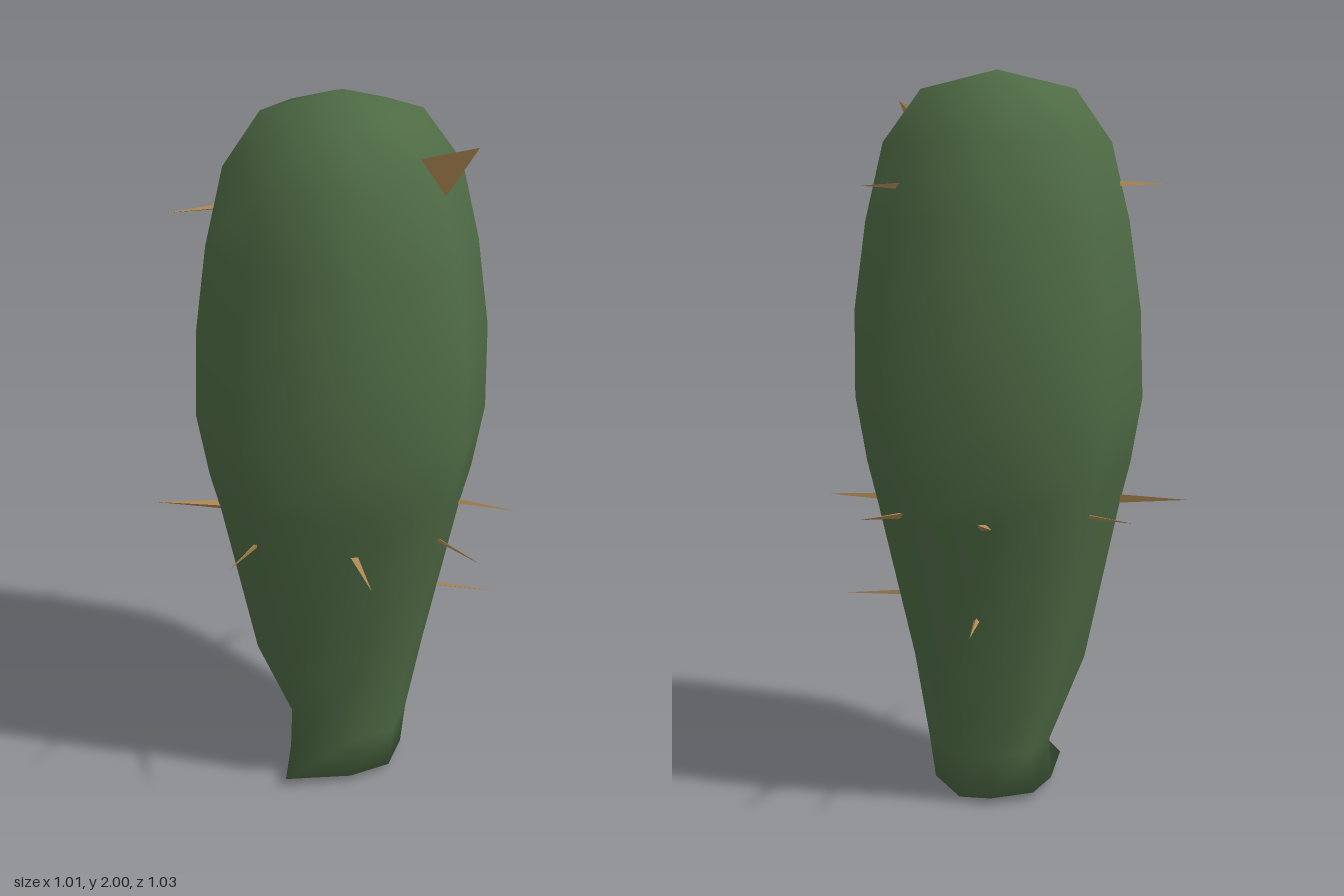
import * as THREE from 'three';

const green = new THREE.MeshStandardMaterial({ color: 0x4f6b45 });
const tan = new THREE.MeshStandardMaterial({ color: 0xb08a55, flatShading: true, side: THREE.DoubleSide });

// Eight-sided rings: height, centre x, centre z, radius, diagonal factor
const RINGS = [
  [0.02, 0.03, 0.005, 0.165, 1.0],
  [0.14, 0.04, -0.005, 0.17, 1.0],
  [0.38, 0.012, 0.012, 0.24, 1.0],
  [0.82, 0.015, 0.0, 0.335, 1.03],
  [0.94, 0.015, 0.005, 0.365, 1.04],
  [1.12, 0.015, 0.01, 0.396, 1.06],
  [1.36, 0.018, 0.008, 0.391, 1.06],
  [1.6, 0.018, 0.008, 0.358, 1.05],
  [1.81, 0.018, 0.01, 0.308, 1.02],
  [1.95, 0.015, 0.005, 0.207, 0.82],
];
const SIDES = 8;

function bodyGeometry() {
  const pos = [], index = [];
  RINGS.forEach(([y, cx, cz, r, diag], row) => {
    for (let i = 0; i < SIDES; i++) {
      const a = (i / SIDES) * Math.PI * 2;
      const rr = i % 2 ? r * diag : r;
      let x = cx + Math.sin(a) * rr, z = cz + Math.cos(a) * rr, h = y;
      // Uneven foot: one corner flares out, the opposite one dips
      if (row === 0) {
        if (i === 7) { x = -0.16; z = 0.185; h = 0.03; }
        else if (i === 3) { x = 0.12; z = -0.1; h = 0; }
      }
      pos.push(x, h, z);
    }
  });
  for (let j = 0; j < RINGS.length - 1; j++) {
    for (let i = 0; i < SIDES; i++) {
      const a = j * SIDES + i, b = j * SIDES + ((i + 1) % SIDES);
      index.push(a, b, b + SIDES, a, b + SIDES, a + SIDES);
    }
  }
  // Closed foot and low peak
  const foot = pos.length / 3, peak = foot + 1, top = (RINGS.length - 1) * SIDES;
  pos.push(0.02, 0.012, 0.01, 0.018, 2.0, 0.005);
  for (let i = 0; i < SIDES; i++) {
    const n = (i + 1) % SIDES;
    index.push(foot, n, i, peak, top + i, top + n);
  }
  const g = new THREE.BufferGeometry();
  g.setAttribute('position', new THREE.Float32BufferAttribute(pos, 3));
  g.setIndex(index);
  g.computeVertexNormals();
  return g;
}

// Slender three-sided thorn from base to tip
function spine(base, tip, radius = 0.015) {
  const a = new THREE.Vector3(...base), b = new THREE.Vector3(...tip);
  const dir = b.clone().sub(a), len = dir.length();
  const g = new THREE.ConeGeometry(radius, len, 3);
  g.scale(1, 1, 0.6);
  g.translate(0, len / 2, 0);
  const m = new THREE.Mesh(g, tan);
  m.position.copy(a);
  m.quaternion.setFromUnitVectors(new THREE.Vector3(0, 1, 0), dir.normalize());
  m.name = 'spine';
  return m;
}

// Broad flat thorn near the crown, a thin wedge with three corners
function broadThorn() {
  const p = [0.19, 1.865, 0.185, 0.25, 1.79, 0.25, 0.315, 1.93, 0.33, 0.23, 1.85, 0.2];
  const g = new THREE.BufferGeometry();
  g.setAttribute('position', new THREE.Float32BufferAttribute(p, 3));
  g.setIndex([0, 1, 2, 1, 3, 2, 3, 0, 2, 0, 3, 1]);
  const flat = g.toNonIndexed();
  flat.computeVertexNormals();
  const m = new THREE.Mesh(flat, tan);
  m.name = 'broadThorn';
  return m;
}

export function createModel() {
  const group = new THREE.Group();
  group.name = 'cactus';
  const body = new THREE.Mesh(bodyGeometry(), green);
  body.name = 'body';
  group.add(body);

  const spines = new THREE.Group();
  spines.name = 'spines';
  const list = [
    // Band around the waist
    [[-0.31, 0.84, 0.0], [-0.51, 0.842, -0.03]],
    [[-0.23, 0.84, 0.24], [-0.31, 0.842, 0.38], 0.011],
    [[0.015, 0.84, 0.3], [0.05, 0.845, 0.52]],
    [[0.25, 0.84, 0.24], [0.35, 0.832, 0.38], 0.011],
    [[0.33, 0.835, 0.02], [0.505, 0.828, 0.083], 0.011],
    [[0.24, 0.84, -0.23], [0.36, 0.845, -0.33]],
    [[0.03, 0.82, -0.31], [0.045, 0.875, -0.51], 0.018],
    [[-0.22, 0.84, -0.23], [-0.345, 0.84, -0.32], 0.01],
    // Lower pair
    [[0.25, 0.565, 0.0], [0.455, 0.55, 0.04], 0.009],
    [[0.06, 0.557, -0.21], [0.07, 0.557, -0.42], 0.012],
    // Upper pair
    [[-0.29, 1.7, -0.005], [-0.44, 1.7, 0.04], 0.01],
    [[0.24, 1.7, -0.22], [0.35, 1.7, -0.285], 0.013],
  ];
  list.forEach(([a, b, r]) => spines.add(spine(a, b, r)));
  spines.add(broadThorn());
  group.add(spines);
  return group;
}
